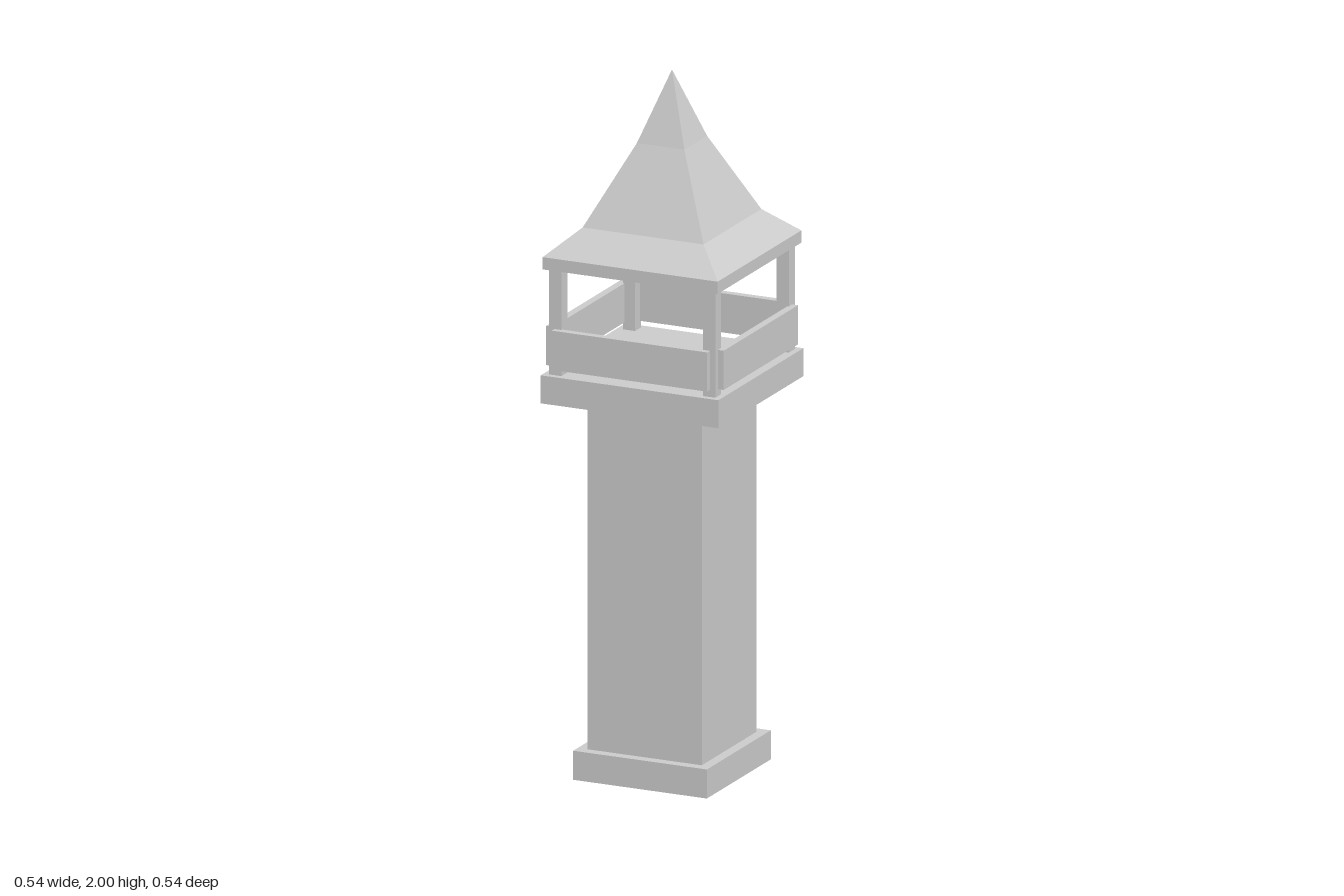
import * as THREE from 'three';

export function createModel() {
  const tower = new THREE.Group();
  tower.name = 'watchtower';
  const material = new THREE.MeshStandardMaterial({ color: 0xcccccc, flatShading: true });

  // Box given by its x and z sizes, bottom and top heights, and centre
  function box(name, w, d, y0, y1, x = 0, z = 0) {
    const mesh = new THREE.Mesh(new THREE.BoxGeometry(w, y1 - y0, d), material);
    mesh.name = name;
    mesh.position.set(x, (y0 + y1) / 2, z);
    tower.add(mesh);
  }

  // Square tower body
  box('base', 0.405, 0.405, 0, 0.083);
  box('shaft', 0.346, 0.346, 0.083, 1.085);
  box('platform', 0.538, 0.538, 1.085, 1.165);

  // Corner posts
  for (const x of [-0.233, 0.233]) {
    for (const z of [-0.233, 0.233]) box('post', 0.037, 0.037, 1.165, 1.467, x, z);
  }

  // Parapet panels fixed to the outside of the posts, raised off the floor
  for (const s of [-1, 1]) {
    box('sidePanel', 0.022, 0.47, 1.185, 1.297, s * 0.258, 0);
    box('endPanel', 0.47, 0.022, 1.185, 1.297, 0, s * 0.258);
  }

  // Eaves slab and flared four-sided spire
  box('eaves', 0.53, 0.53, 1.467, 1.502);
  const profile = [[0.265, 1.502], [0.183, 1.575], [0.072, 1.8], [0, 2]]
    .map(([half, y]) => new THREE.Vector2(half * Math.SQRT2, y));
  const roof = new THREE.Mesh(new THREE.LatheGeometry(profile, 4, Math.PI / 4), material);
  roof.name = 'roof';
  tower.add(roof);

  return tower;
}
